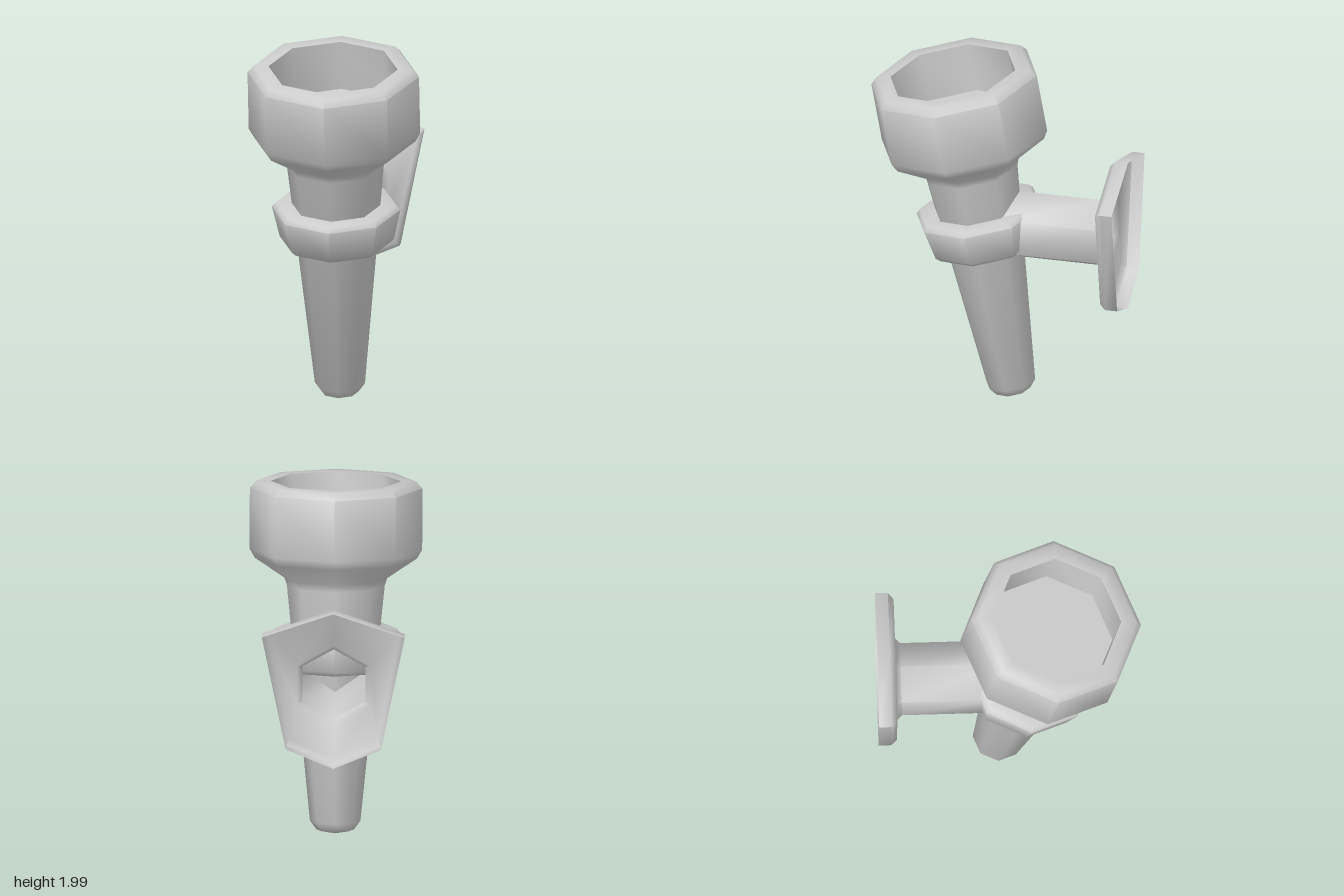
import * as THREE from 'three';
import { toCreasedNormals } from 'three/addons/utils/BufferGeometryUtils.js';

const TILT = THREE.MathUtils.degToRad(10);

// Eight-sided turned part from [radius, height] pairs
function turned(name, profile, material) {
  const pts = profile.map(([r, y]) => new THREE.Vector2(r, y));
  const mesh = new THREE.Mesh(toCreasedNormals(new THREE.LatheGeometry(pts, 8), 0.95), material);
  mesh.name = name;
  return mesh;
}

// Open skin through loops of equal point count
function loft(name, loops, material) {
  const n = loops[0].length;
  const index = [];
  for (let i = 0; i < loops.length - 1; i++) {
    for (let k = 0; k < n; k++) {
      const a = i * n + k, b = i * n + (k + 1) % n;
      index.push(a, b, a + n, b, b + n, a + n);
    }
  }
  const geo = new THREE.BufferGeometry();
  geo.setAttribute('position', new THREE.Float32BufferAttribute(loops.flat(2), 3));
  geo.setIndex(index);
  const mesh = new THREE.Mesh(toCreasedNormals(geo, 1.1), material);
  mesh.name = name;
  return mesh;
}

export function createModel() {
  const model = new THREE.Group();
  const solid = new THREE.MeshStandardMaterial({ color: 0xcccccc });
  const shell = new THREE.MeshStandardMaterial({ color: 0xcccccc, side: THREE.DoubleSide });

  // Tilted torch: tapered handle running into a hollow cup
  const torch = new THREE.Group();
  torch.name = 'torch';
  torch.position.set(0, 0.005, -0.075);
  torch.rotation.x = TILT;
  torch.add(turned('handleAndCup', [
    [0, 0], [0.103, 0.022], [0.138, 0.07],      // rounded tip
    [0.267, 1.37], [0.28, 1.41],                // handle
    [0.443, 1.52], [0.471, 1.569],              // cup underside
    [0.471, 1.906], [0.437, 1.945],             // cup wall and bevel
    [0.355, 1.945], [0.355, 1.665], [0, 1.665], // rim, inner wall and floor
  ], solid));

  // Collar holding the handle
  torch.add(turned('collar', [
    [0.19, 0.91], [0.288, 0.91], [0.314, 0.935],
    [0.353, 1.11], [0.33, 1.135], [0.22, 1.135],
  ], solid));
  model.add(torch);

  // Hollow wall bracket: six-sided arm flaring into a tapered back plate
  const midY = 1.042;
  const hexLoop = (r, z) => Array.from({ length: 6 }, (_, k) => {
    const a = k * Math.PI / 3;
    return [r * Math.sin(a), midY + r * Math.cos(a), z];
  });
  const plateOutline = [[0, 0.446], [0.39, 0.31], [0.26, -0.335], [0, -0.446], [-0.26, -0.335], [-0.39, 0.31]];
  const plateLoop = (s, z) => plateOutline.map(([x, y]) => [x * s, midY + y * s, z]);
  model.add(loft('wallBracket', [
    hexLoop(0.2, -0.05), hexLoop(0.2, -0.59), hexLoop(0.23, -0.62),
    plateLoop(0.925, -0.62), plateLoop(1, -0.65), plateLoop(1, -0.72),
  ], shell));

  return model;
}
